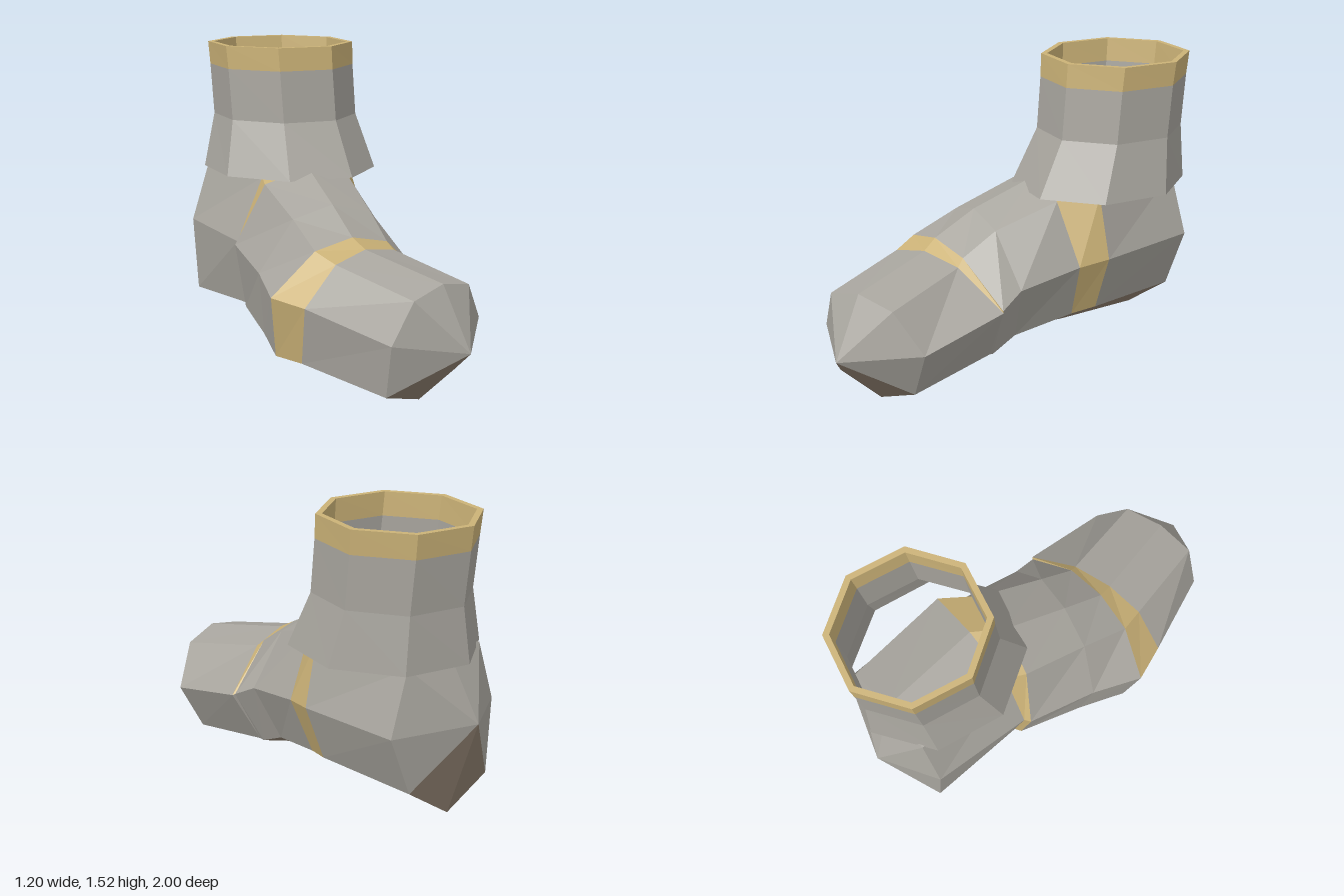
import * as THREE from 'three';

const material = (name, color) =>
  Object.assign(new THREE.MeshStandardMaterial({ color }), { name });

const SIDES = 8;
const ALL = [0, 1, 2, 3, 4, 5, 6, 7];
const UPPER = [0, 1, 2, 3, 4, 7]; // armour plates around the foot
const SOLE = [5, 6];              // the two faces underneath

// Flat-shaded skin over eight-point rings; only the listed sides are built.
function loft(name, rings, mat, sides = ALL) {
  const pos = [];
  const tri = (a, b, c) => {
    if (a.equals(b) || b.equals(c) || a.equals(c)) return;
    for (const p of [a, b, c]) pos.push(p.x, p.y, p.z);
  };
  for (let i = 0; i < rings.length - 1; i++) {
    for (const k of sides) {
      const n = (k + 1) % SIDES, r = rings[i], s = rings[i + 1];
      tri(r[k], s[k], s[n]);
      tri(r[k], s[n], r[n]);
    }
  }
  const geo = new THREE.BufferGeometry();
  geo.setAttribute('position', new THREE.Float32BufferAttribute(pos, 3));
  geo.computeVertexNormals();
  const mesh = new THREE.Mesh(geo, mat);
  mesh.name = name;
  return mesh;
}

// Foot ring from its outer, inner, top and bottom points;
// spread sets how wide the upper corners sit, drop how low the outer lower one.
function footRing(outer, inner, top, bottom, spread, drop = 0.69) {
  const [o, n, t, b] = [outer, inner, top, bottom].map(p => new THREE.Vector3(...p));
  const c = o.clone().add(n).multiplyScalar(0.5);
  const corner = (side, end, u, v) => c.clone()
    .addScaledVector(side.clone().sub(c), u)
    .addScaledVector(end.clone().sub(c), v);
  return [o, corner(o, t, spread, 0.82), t, corner(n, t, spread, 0.82),
    n, corner(n, b, 0.82, 0.77), b, corner(o, b, 0.72, drop)];
}

const point = (x, y, z) => ALL.map(() => new THREE.Vector3(x, y, z));

// Level ring of the ankle cuff, turned slightly.
const cuffRing = (x, y, z, rx, rz) => ALL.map(k => {
  const a = k * Math.PI / 4 - 0.05;
  return new THREE.Vector3(x + Math.cos(a) * rx, y, z - Math.sin(a) * rz);
});

export function createModel() {
  const steel = material('steel grey', 0xa8a59e);
  const gold = material('dull gold', 0xcbb277);
  const leather = material('sole brown', 0x8d7e6e);

  const boot = new THREE.Group();
  boot.name = 'armouredBoot';

  // Foot rings, toe to heel, following the bend of the foot
  const toeTip = point(-0.22, 0.28, 1);
  const toe = footRing([0.13, 0.33, 0.78], [-0.5, 0.33, 0.78], [-0.22, 0.57, 0.84], [-0.22, 0, 0.71], 0.62, 0.73);
  const capEnd = footRing([0.24, 0.43, 0.345], [-0.575, 0.43, 0.33], [-0.22, 0.65, 0.38], [-0.2, 0.06, 0.25], 0.49, 0.73);
  const bandEnd = footRing([0.23, 0.435, 0.335], [-0.6, 0.45, 0.14], [-0.22, 0.695, 0.3], [-0.2, 0.055, 0.17], 0.48, 0.73);
  const instep = footRing([0.24, 0.5, 0.21], [-0.46, 0.5, -0.08], [-0.14, 0.81, 0.1], [-0.12, 0.09, 0], 0.54);
  const archFront = footRing([0.36, 0.555, -0.1], [-0.31, 0.56, -0.4], [0, 0.93, -0.19], [0.03, 0.13, -0.28], 0.62, 0.66);
  const archBack = footRing([0.435, 0.575, -0.24], [-0.28, 0.57, -0.415], [0.12, 0.95, -0.31], [0.08, 0.14, -0.34], 0.71, 0.65);
  const heel = footRing([0.54, 0.59, -0.77], [-0.14, 0.59, -0.9], [0.2, 0.96, -0.83], [0.16, 0.1, -0.85], 0.7, 0.62);
  const heelTip = point(0.17, 0.59, -1);

  boot.add(
    loft('toeCap', [toeTip, toe, capEnd], steel, UPPER),
    loft('toeBand', [capEnd, bandEnd], gold, [0, 1, 2, 3, 4]),
    loft('toeCapLowerEdge', [capEnd, bandEnd], steel, [7]),
    loft('instepPlates', [bandEnd, instep, archFront], steel, UPPER),
    loft('archBand', [archFront, archBack], gold, UPPER),
    loft('heelPlates', [archBack, heel, heelTip], steel, UPPER),
    loft('sole', [toeTip, toe, capEnd, bandEnd, instep, archFront, archBack, heel, heelTip], leather, SOLE),
  );

  // Hollow flared cuff: outside, inside and hem
  const shape = [
    [0.21, 1.52, -0.59, 0.365, 0.38],
    [0.208, 1.405, -0.58, 0.358, 0.378],
    [0.205, 1.15, -0.555, 0.355, 0.378],
    [0.18, 0.88, -0.5, 0.42, 0.46],
  ];
  const outside = shape.map(s => cuffRing(...s));
  const inside = shape.map(([x, y, z, rx, rz]) => cuffRing(x, y, z, rx - 0.03, rz - 0.03));
  const cuff = new THREE.Group();
  cuff.name = 'ankleCuff';
  cuff.add(
    loft('cuffRim', [inside[1], inside[0], outside[0], outside[1]], gold),
    loft('cuffWall', [...outside.slice(1), ...inside.slice(1).reverse()], steel),
  );
  boot.add(cuff);
  return boot;
}
